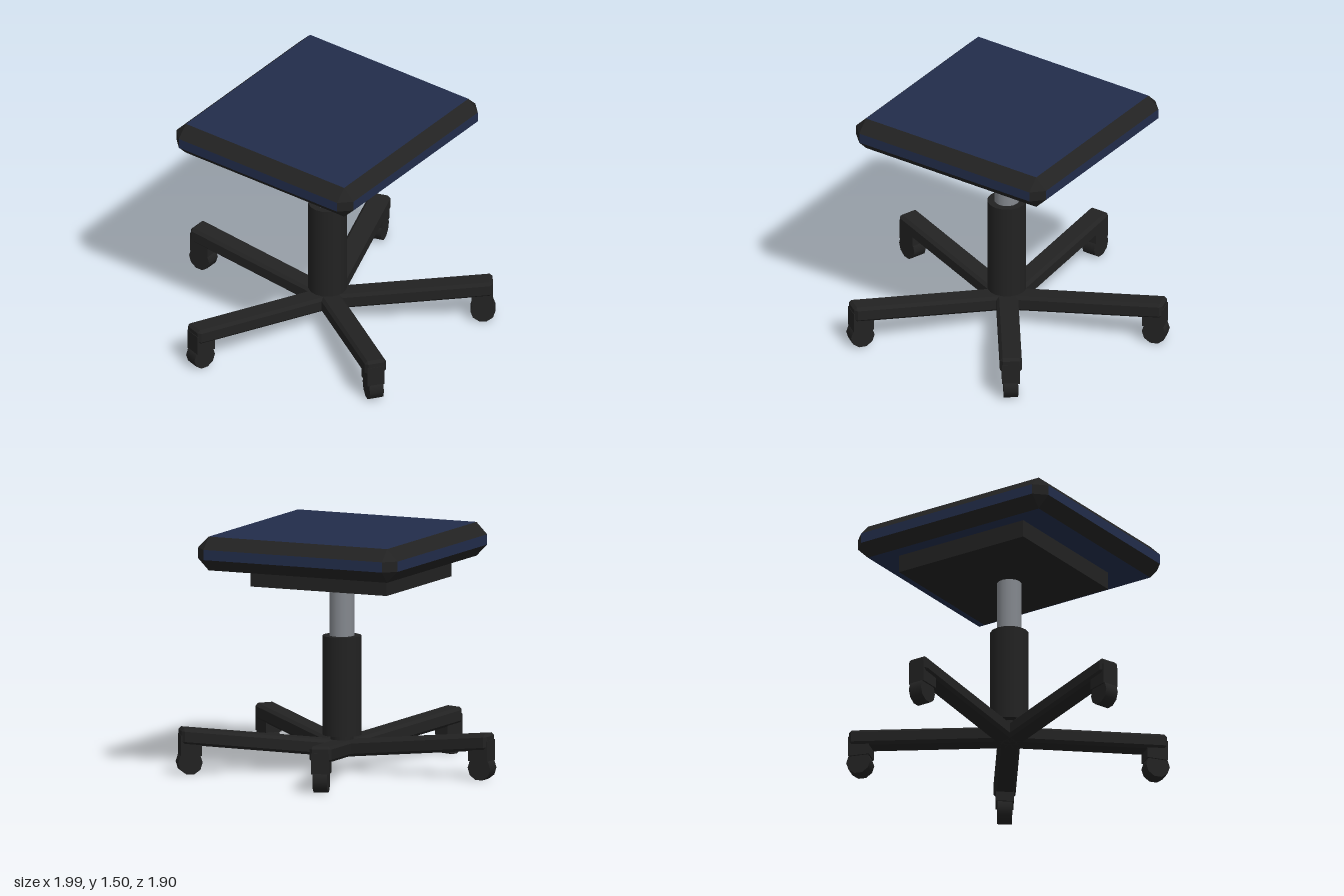
import * as THREE from 'three';

const navy = new THREE.MeshStandardMaterial({ color: 0x222d4b });
navy.name = 'navy fabric';
const black = new THREE.MeshStandardMaterial({ color: 0x222222 });
black.name = 'black plastic';
const grey = new THREE.MeshStandardMaterial({ color: 0x84888e });
grey.name = 'grey metal';

const CENTRE_Z = 0.087;

// Box with all edges cut at 45 degrees: group 0 = six flat faces, group 1 = edges and corners
function chamferedBox(w, h, d, c) {
  const half = [w / 2, h / 2, d / 2];
  // corner point lying on the flat face of the given axis
  const point = (s, axis) => new THREE.Vector3(...s.map((v, i) => v * (half[i] - (i === axis ? 0 : c))));
  const pos = [];
  const tri = (a, b, e) => {
    const n = b.clone().sub(a).cross(e.clone().sub(a));
    const out = a.clone().add(b).add(e);
    const order = n.dot(out) > 0 ? [a, b, e] : [a, e, b];
    order.forEach((p) => pos.push(p.x, p.y, p.z));
  };
  const quad = (a, b, e, f) => { tri(a, b, e); tri(a, e, f); };
  const signs = [-1, 1];
  const at = (axis, s, j, u, k, v) => { const r = []; r[axis] = s; r[j] = u; r[k] = v; return r; };
  for (let a = 0; a < 3; a++) {
    const j = (a + 1) % 3, k = (a + 2) % 3;
    for (const s of signs) {
      quad(...[[-1, -1], [1, -1], [1, 1], [-1, 1]].map(([u, v]) => point(at(a, s, j, u, k, v), a)));
    }
  }
  const flatCount = pos.length / 3;
  for (let a = 0; a < 3; a++) {
    const j = (a + 1) % 3, k = (a + 2) % 3;
    for (const u of signs) for (const v of signs) {
      const lo = at(a, -1, j, u, k, v), hi = at(a, 1, j, u, k, v);
      quad(point(lo, j), point(hi, j), point(hi, k), point(lo, k));
    }
  }
  for (const x of signs) for (const y of signs) for (const z of signs) {
    const s = [x, y, z];
    tri(point(s, 0), point(s, 1), point(s, 2));
  }
  const g = new THREE.BufferGeometry();
  g.setAttribute('position', new THREE.Float32BufferAttribute(pos, 3));
  g.addGroup(0, flatCount, 0);
  g.addGroup(flatCount, pos.length / 3 - flatCount, 1);
  g.computeVertexNormals();
  return g;
}

function add(parent, name, geometry, material, x, y, z) {
  const mesh = new THREE.Mesh(geometry, material);
  mesh.name = name;
  mesh.position.set(x, y, z);
  parent.add(mesh);
  return mesh;
}

export function createModel() {
  const model = new THREE.Group();
  model.name = 'stool';

  // Seat: navy cushion with black edging, on a flat mounting plate
  add(model, 'seatCushion', chamferedBox(1.42, 0.21, 1.365, 0.073), [navy, black], 0, 1.395, 0.083);
  add(model, 'seatPlate', new THREE.BoxGeometry(0.925, 0.112, 0.93), black, 0, 1.235, 0.025);

  // Central column
  const cylinder = (r, bottom, top) => new THREE.CylinderGeometry(r, r, top - bottom, 16).translate(0, (top + bottom) / 2, 0);
  add(model, 'gasLift', cylinder(0.077, 0.8, 1.2), grey, 0, 0, CENTRE_Z);
  add(model, 'columnSleeve', cylinder(0.121, 0.222, 0.84), black, 0, 0, CENTRE_Z);
  add(model, 'hub', cylinder(0.072, 0.12, 0.225), black, 0, 0, CENTRE_Z);

  // Leg bar, sheared so that it rises towards its outer end
  const legLength = 1.04;
  const legGeometry = chamferedBox(0.136, 0.1, legLength, 0.018);
  legGeometry.translate(0, 0.138, -legLength / 2 + 0.025);
  const p = legGeometry.attributes.position;
  for (let i = 0; i < p.count; i++) p.setY(i, p.getY(i) - p.getZ(i) * 0.105);
  legGeometry.computeVertexNormals();

  const forkGeometry = new THREE.BoxGeometry(0.11, 0.13, 0.132);
  const wheelGeometry = new THREE.CylinderGeometry(0.077, 0.077, 0.09, 10).rotateZ(Math.PI / 2);

  // Five legs with casters, the first pointing straight back
  for (let i = 0; i < 5; i++) {
    const leg = new THREE.Group();
    leg.name = `leg${i + 1}`;
    add(leg, 'legBar', legGeometry, black, 0, 0, 0);
    add(leg, 'casterFork', forkGeometry, black, 0, 0.185, -0.952);
    add(leg, 'casterWheel', wheelGeometry, black, 0, 0.077, -0.957);
    leg.position.z = CENTRE_Z;
    leg.rotation.y = (i * Math.PI * 2) / 5;
    model.add(leg);
  }
  return model;
}
